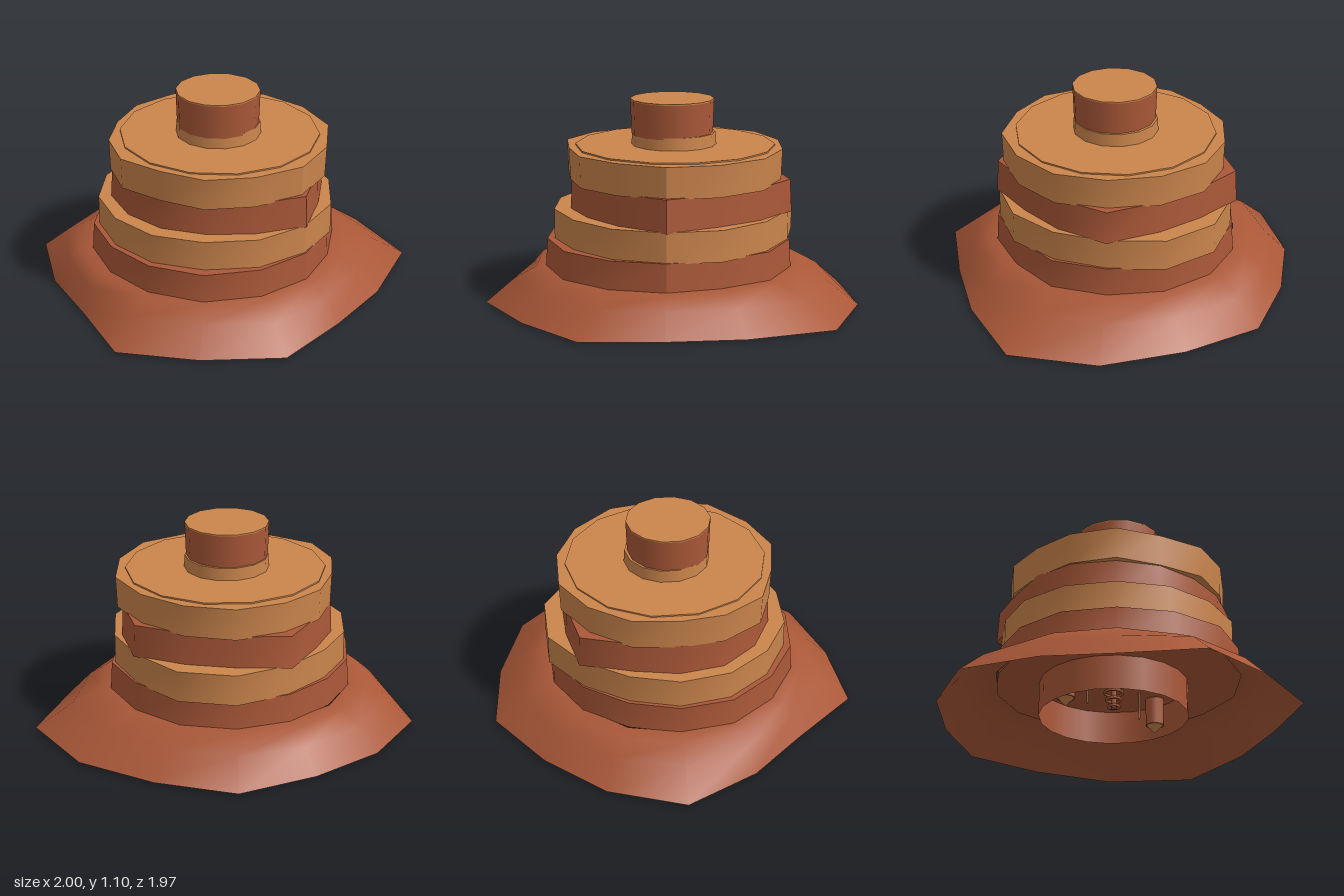
import * as THREE from 'three';

const SIDES = 14;

export function createModel() {
  const model = new THREE.Group();
  model.name = 'tieredTower';

  const clay = new THREE.MeshStandardMaterial({ color: 0xaa5838 });
  clay.name = 'clay brown';
  const clayThin = new THREE.MeshStandardMaterial({ color: 0xaa5838, side: THREE.DoubleSide });
  clayThin.name = 'clay brown shell';
  const sand = new THREE.MeshStandardMaterial({ color: 0xcb854c });
  sand.name = 'sand tan';

  function add(name, geometry, material, x = 0, y = 0, z = 0) {
    const mesh = new THREE.Mesh(geometry, material);
    mesh.name = name;
    mesh.position.set(x, y, z);
    model.add(mesh);
    return mesh;
  }

  // Uneven drum: one radius per corner, counted from +x towards +z
  function drum(name, material, y0, y1, radii, flare = 1) {
    const h = y1 - y0;
    const g = new THREE.CylinderGeometry(1, 1, h, SIDES);
    // turn the seam to the corner nearest the front left
    g.rotateY(Math.PI / 2 - Math.round(SIDES / 14) * 2 * Math.PI / SIDES);
    const p = g.attributes.position;
    for (let i = 0; i < p.count; i++) {
      const x = p.getX(i), z = p.getZ(i);
      const k = Math.round(Math.atan2(z, x) / (2 * Math.PI) * SIDES + SIDES) % SIDES;
      const s = radii[k] * (p.getY(i) > 0 ? flare : 1);
      p.setX(i, x * s);
      p.setZ(i, z * s);
    }
    g.computeVertexNormals();
    return add(name, g, material, 0, (y0 + y1) / 2, 0);
  }

  // Flared skirt: cross-sections from the ragged rim up to a flat shoulder
  const rim = [0.946, 0.90, 1.01, 0.96, 1.01, 0.84, 0.88, 1.0, 0.95, 0.93, 1.01, 0.98, 1.05, 1.11];
  const sections = [[1, 0.01], [0.45, 0.135], [0, 0.198], [-0.25, 0.2]];
  const verts = [], index = [];
  sections.forEach(([t, y], j) => {
    for (let k = 0; k < SIDES; k++) {
      const a = k / SIDES * 2 * Math.PI;
      const r = t < 0 ? 0.64 : 0.73 + (rim[k] - 0.73) * t;
      verts.push(r * Math.cos(a), y, r * Math.sin(a));
      if (j > 0) {
        const n = (k + 1) % SIDES, lo = (j - 1) * SIDES, hi = j * SIDES;
        index.push(lo + k, hi + k, lo + n, lo + n, hi + k, hi + n);
      }
    }
  });
  const skirt = new THREE.BufferGeometry();
  skirt.setAttribute('position', new THREE.Float32BufferAttribute(verts, 3));
  skirt.setIndex(index);
  skirt.computeVertexNormals();
  add('skirt', skirt, clayThin);

  // Stacked tiers
  drum('lowerBrownTier', clay, 0.195, 0.35,
    [0.66, 0.68, 0.69, 0.70, 0.68, 0.66, 0.66, 0.64, 0.63, 0.65, 0.67, 0.68, 0.68, 0.69], 0.985);
  drum('lowerTanTier', sand, 0.343, 0.51,
    [0.67, 0.66, 0.65, 0.63, 0.63, 0.62, 0.62, 0.61, 0.60, 0.63, 0.69, 0.70, 0.66, 0.66]);
  drum('upperBrownTier', clay, 0.505, 0.68,
    [0.60, 0.67, 0.58, 0.54, 0.54, 0.54, 0.55, 0.54, 0.55, 0.66, 0.59, 0.60, 0.68, 0.62], 0.985);
  drum('upperTanTier', sand, 0.672, 0.842,
    [0.63, 0.63, 0.59, 0.58, 0.54, 0.57, 0.55, 0.53, 0.56, 0.58, 0.61, 0.61, 0.62, 0.64], 1.01);
  add('roofPlate', new THREE.CylinderGeometry(0.54, 0.54, 0.008, SIDES), sand, 0.04, 0.846, -0.02);

  // Chimney on the roof
  add('neck', new THREE.CylinderGeometry(0.225, 0.23, 0.075, SIDES), sand, 0.035, 0.88, -0.015);
  add('chimney', new THREE.CylinderGeometry(0.226, 0.22, 0.185, SIDES), clay, 0.035, 1.0, -0.005);
  add('chimneyTop', new THREE.CylinderGeometry(0.226, 0.226, 0.007, SIDES), sand, 0.035, 1.0955, -0.005);

  // Open well under the skirt
  add('well', new THREE.CylinderGeometry(0.4, 0.4, 0.19, 20, 1, true), clayThin, 0, 0.105, 0);

  // Small fittings hanging in the well
  for (const s of [-1, 1]) {
    add('lampBody', new THREE.CylinderGeometry(0.05, 0.05, 0.15, 12), clay, s * 0.31, 0.12, -0.02);
    const tip = add('lampTip', new THREE.ConeGeometry(0.045, 0.045, 8), sand, s * 0.31, 0.0225, -0.02);
    tip.rotation.x = Math.PI;
    add('hangingRod', new THREE.CylinderGeometry(0.006, 0.006, 0.15, 6), sand, s * 0.18, 0.12, 0);
  }
  add('centreStem', new THREE.CylinderGeometry(0.015, 0.015, 0.14, 8), clay, 0, 0.13, 0);
  for (let i = 0; i < 3; i++) {
    const ring = add('centreRing', new THREE.TorusGeometry(0.05 - i * 0.01, 0.008, 6, 12), clay, 0, 0.15 - i * 0.04, 0);
    ring.rotation.x = Math.PI / 2;
  }

  return model;
}
